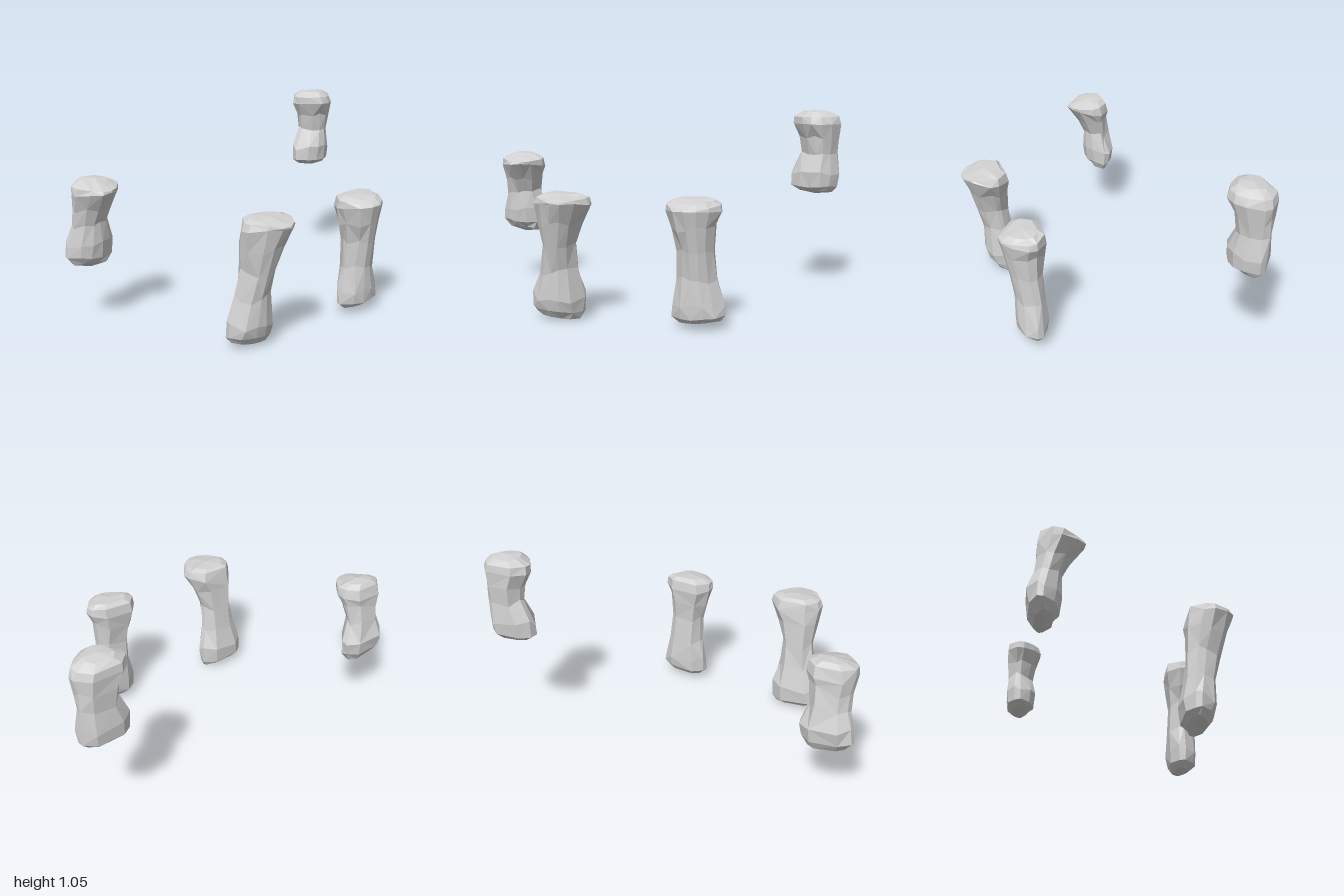
import * as THREE from 'three';

const stone = new THREE.MeshStandardMaterial({ color: 0xd2d2d2 });
stone.name = 'bone grey';
stone.flatShading = true;

// Section seen from above: flat at the back, blunt point at the front
const SECTION = [[-0.6, -1], [0.55, -1], [1, -0.4], [1, 0.03], [0.6, 0.68],
  [0.2, 1], [-0.22, 1], [-0.62, 0.66], [-1, 0.03], [-1, -0.4]];
const N = SECTION.length;

function seeded(seed) {
  let s = seed;
  return () => (s = (s * 16807) % 2147483647) / 2147483647 - 0.5;
}

// Rings from the bottom up: [y, xMin, xMax, zMin, zMax, tilt along x, tilt along z]
function makeBone(name, rings, bottomY, topY, seed) {
  const rand = seeded(seed);
  const pos = [], index = [];
  rings.forEach(([y, x0, x1, z0, z1, tx = 0, tz = 0], i) => {
    const round = 0.7 * (1 - i / (rings.length - 1)); // lower end is rounder
    const shaft = i > 1 && i < rings.length - 3;
    SECTION.forEach(([u, v], k) => {
      const len = Math.hypot(u, v);
      const px = THREE.MathUtils.lerp(u, u / len, round);
      const pz = THREE.MathUtils.lerp(v, v / len, round);
      pos.push(
        (x0 + x1) / 2 + px * (x1 - x0) / 2 + rand() * 0.01,
        y + px * tx + pz * tz + rand() * (shaft ? 0.05 : 0.008),
        (z0 + z1) / 2 + pz * (z1 - z0) / 2 + rand() * 0.01);
    });
  });
  // Sides, with alternating diagonals for a chipped look
  for (let i = 0; i < rings.length - 1; i++) {
    for (let k = 0; k < N; k++) {
      const a = i * N + k, b = i * N + (k + 1) % N, c = a + N, d = b + N;
      if ((i + k) % 2) index.push(a, c, d, a, d, b);
      else index.push(a, c, b, b, c, d);
    }
  }
  // End caps
  const cap = (ring, y, up) => {
    const [, x0, x1, z0, z1] = rings[ring];
    const centre = pos.length / 3;
    pos.push((x0 + x1) / 2, y, (z0 + z1) / 2);
    for (let k = 0; k < N; k++) {
      const a = ring * N + k, b = ring * N + (k + 1) % N;
      index.push(centre, up ? b : a, up ? a : b);
    }
  };
  cap(0, bottomY, false);
  cap(rings.length - 1, topY, true);

  const geo = new THREE.BufferGeometry();
  geo.setAttribute('position', new THREE.Float32BufferAttribute(pos, 3));
  geo.setIndex(index);
  const flat = geo.toNonIndexed();
  flat.computeVertexNormals();
  const mesh = new THREE.Mesh(flat, stone);
  mesh.name = name;
  return mesh;
}

export function createModel() {
  const group = new THREE.Group();
  group.name = 'toeBones';

  group.add(makeBone('frontRightBone', [
    [0.025, -0.55, -0.32, 0.325, 0.425, -0.012, -0.005],
    [0.06, -0.58, -0.30, 0.295, 0.455, -0.01],
    [0.13, -0.575, -0.295, 0.29, 0.475],
    [0.27, -0.53, -0.325, 0.32, 0.475],
    [0.41, -0.505, -0.33, 0.335, 0.51],
    [0.54, -0.52, -0.29, 0.34, 0.55],
    [0.63, -0.53, -0.24, 0.345, 0.59, 0, 0.015],
    [0.66, -0.52, -0.255, 0.355, 0.592, 0, -0.005],
    [0.673, -0.48, -0.30, 0.385, 0.545, 0, -0.008],
  ], 0.005, 0.68, 11));

  group.add(makeBone('frontLeftBone', [
    [0.04, 0.21, 0.42, 0.38, 0.46, 0.008, 0],
    [0.07, 0.17, 0.445, 0.35, 0.495, 0.01],
    [0.13, 0.17, 0.44, 0.34, 0.505],
    [0.27, 0.195, 0.40, 0.35, 0.495],
    [0.41, 0.195, 0.385, 0.36, 0.52],
    [0.53, 0.17, 0.39, 0.345, 0.55],
    [0.61, 0.14, 0.42, 0.335, 0.565, 0, 0.01],
    [0.645, 0.15, 0.415, 0.35, 0.56, 0, -0.012],
    [0.665, 0.19, 0.38, 0.375, 0.525, 0, -0.01],
  ], 0.03, 0.67, 23));

  group.add(makeBone('backRightBone', [
    [0.335, -0.96, -0.77, -0.435, -0.345, -0.008, 0.01],
    [0.38, -1.0, -0.735, -0.465, -0.32, -0.01],
    [0.45, -0.995, -0.73, -0.475, -0.31],
    [0.56, -0.965, -0.765, -0.45, -0.31],
    [0.65, -0.965, -0.75, -0.43, -0.275],
    [0.725, -0.98, -0.73, -0.435, -0.207, 0, 0.015],
    [0.763, -0.97, -0.735, -0.425, -0.21, 0, -0.01],
    [0.787, -0.92, -0.78, -0.40, -0.27, 0, -0.012],
  ], 0.315, 0.797, 37));

  group.add(makeBone('backLeftBone', [
    [0.59, 0.77, 0.96, -0.55, -0.45, -0.005, 0.005],
    [0.62, 0.73, 0.99, -0.585, -0.42],
    [0.69, 0.73, 0.995, -0.59, -0.41],
    [0.81, 0.785, 0.985, -0.585, -0.43],
    [0.90, 0.77, 0.985, -0.59, -0.415],
    [0.98, 0.73, 1.0, -0.595, -0.385],
    [1.022, 0.735, 0.985, -0.59, -0.395],
    [1.05, 0.785, 0.93, -0.56, -0.43],
  ], 0.575, 1.058, 53));

  return group;
}
